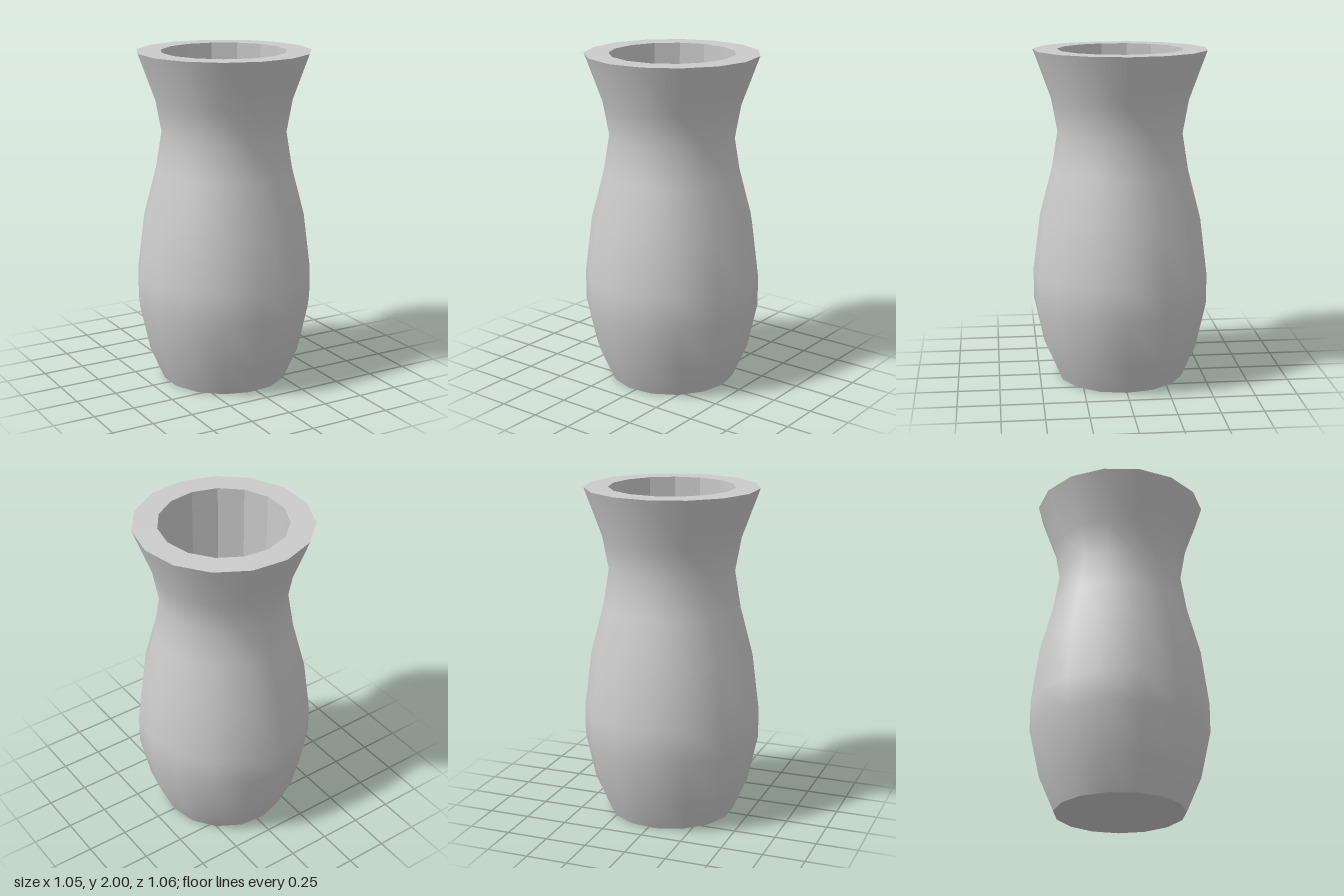
import * as THREE from 'three';

const SIDES = 15;

// Turns a profile of [radius, height] pairs round the y axis, with a corner on +x.
function turned(name, profile, flatShading) {
  const points = profile.map(([r, y]) => new THREE.Vector2(r, y));
  const geometry = new THREE.LatheGeometry(points, SIDES, Math.PI / 2);
  const material = new THREE.MeshStandardMaterial({ color: 0xcccccc, flatShading });
  const mesh = new THREE.Mesh(geometry, material);
  mesh.name = name;
  return mesh;
}

export function createModel() {
  const vase = new THREE.Group();
  vase.name = 'vase';

  const outer = [
    [0.383, 0], [0.47, 0.2], [0.531, 0.48], [0.531, 0.66], [0.488, 1.0],
    [0.412, 1.29], [0.376, 1.51], [0.412, 1.71], [0.518, 2],
  ];
  const boreRadius = 0.374;
  const floorHeight = 0.2;

  // Smooth outer body
  vase.add(turned('body', outer, false));
  // Flat foot under the body
  vase.add(turned('base', [[0, 0], outer[0]], true));
  // Flat ring round the mouth
  vase.add(turned('rim', [outer.at(-1), [boreRadius, 2]], true));
  // Straight faceted bore and its floor
  vase.add(turned('innerWall', [[boreRadius, 2], [boreRadius, floorHeight]], true));
  vase.add(turned('innerFloor', [[boreRadius, floorHeight], [0, floorHeight]], true));

  // An odd number of sides reaches further to +x, so centre it
  vase.children.forEach((part) => { part.position.x = -0.006; });
  return vase;
}
